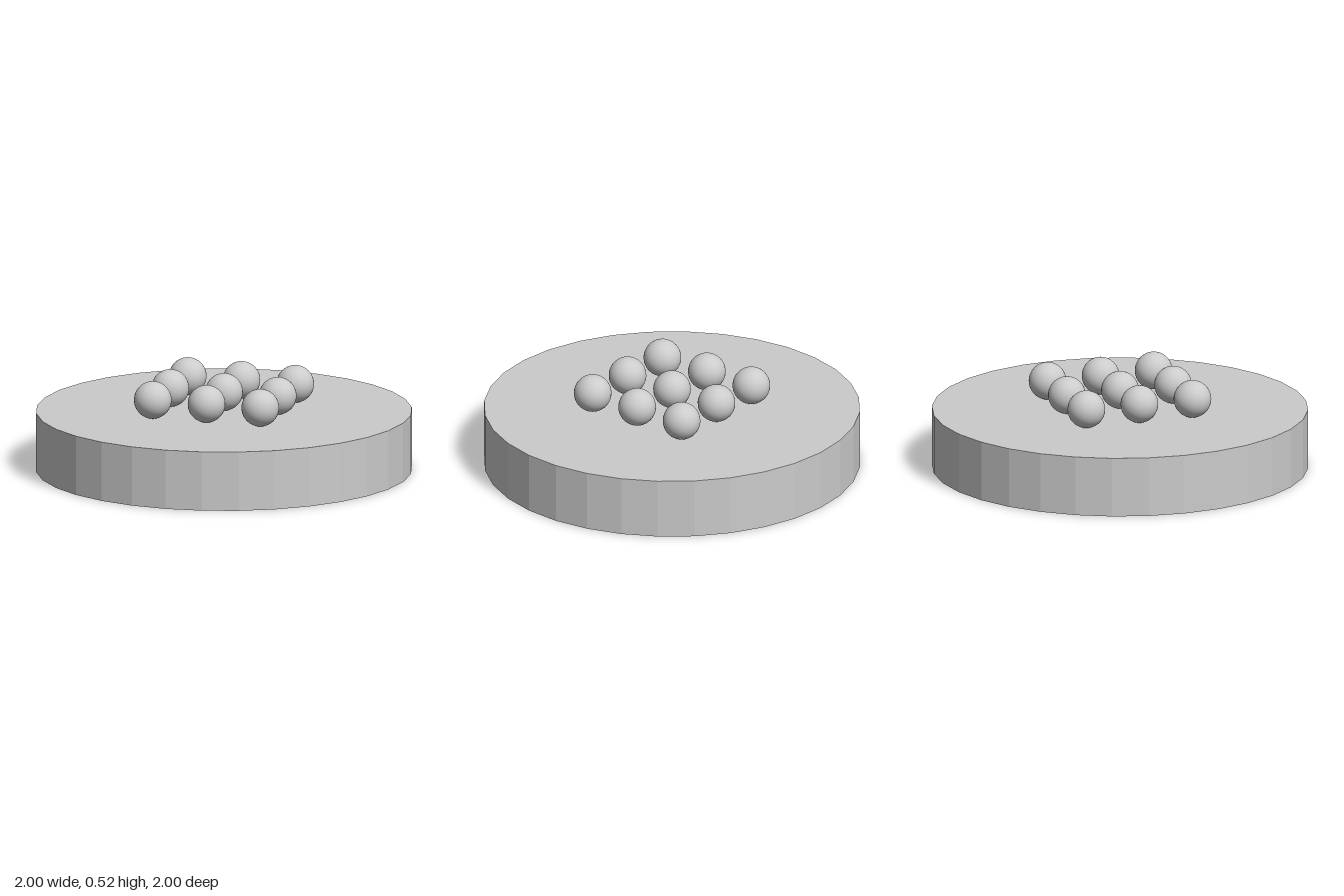
import * as THREE from 'three';

const DISC_HEIGHT = 0.32;
const BALL_RADIUS = 0.1;
const SPACING = 0.3;

export function createModel() {
  const model = new THREE.Group();
  model.name = 'ballsOnDisc';

  // Faceted round base
  const base = new THREE.Mesh(
    new THREE.CylinderGeometry(1, 1, DISC_HEIGHT, 32),
    new THREE.MeshStandardMaterial({ color: 0xcccccc, flatShading: true })
  );
  base.name = 'base';
  base.position.y = DISC_HEIGHT / 2;
  model.add(base);

  // Three by three grid of smooth balls resting on the base
  const balls = new THREE.Group();
  balls.name = 'balls';
  const ballGeometry = new THREE.SphereGeometry(BALL_RADIUS, 32, 32);
  const ballMaterial = new THREE.MeshStandardMaterial({ color: 0xcccccc });
  for (let row = -1; row <= 1; row++) {
    for (let column = -1; column <= 1; column++) {
      const ball = new THREE.Mesh(ballGeometry, ballMaterial);
      ball.name = 'ball';
      ball.position.set(column * SPACING, DISC_HEIGHT + BALL_RADIUS, row * SPACING);
      balls.add(ball);
    }
  }
  model.add(balls);

  return model;
}
